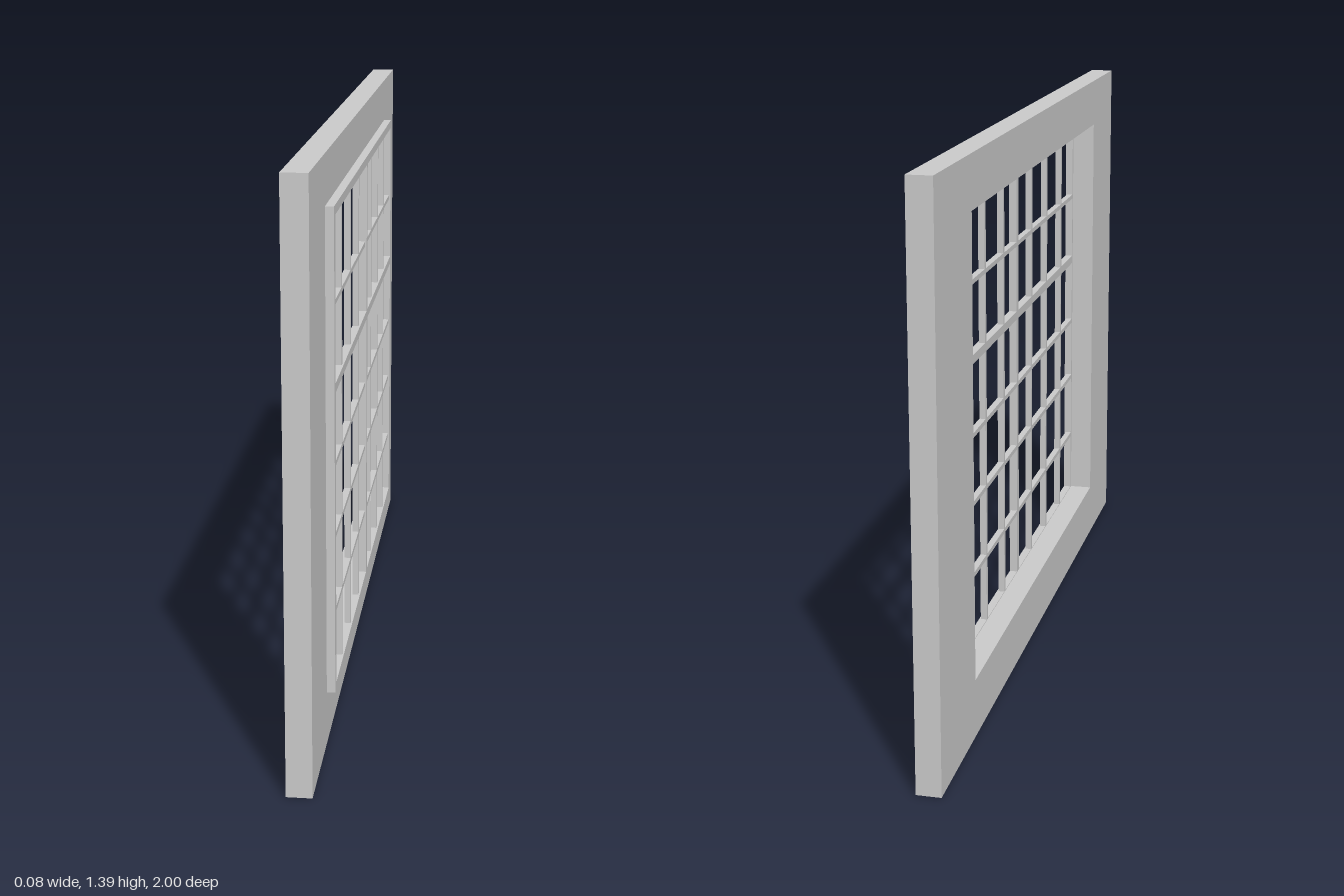
import * as THREE from 'three';

const material = new THREE.MeshStandardMaterial({ color: 0xcccccc, flatShading: true });

// Rectangle outline in the (z, y) plane, wound either way
function trace(path, z0, z1, y0, y1) {
  path.moveTo(z0, y0);
  path.lineTo(z1, y0);
  path.lineTo(z1, y1);
  path.lineTo(z0, y1);
  path.closePath();
  return path;
}

// Rectangular panel with a rectangular opening, from x0 to x1
function panel(name, outer, inner, x0, x1) {
  // the shape's horizontal axis becomes -z after turning, so z is negated
  const flip = ([z0, z1, y0, y1]) => [-z1, -z0, y0, y1];
  const shape = trace(new THREE.Shape(), ...flip(outer));
  shape.holes.push(trace(new THREE.Path(), ...flip(inner)));
  const geometry = new THREE.ExtrudeGeometry(shape, { depth: x1 - x0, bevelEnabled: false });
  geometry.rotateY(Math.PI / 2);
  geometry.translate(x0, 0, 0);
  const mesh = new THREE.Mesh(geometry, material);
  mesh.name = name;
  return mesh;
}

function bar(name, z0, z1, y0, y1, x0, x1) {
  const mesh = new THREE.Mesh(new THREE.BoxGeometry(x1 - x0, y1 - y0, z1 - z0), material);
  mesh.position.set((x0 + x1) / 2, (y0 + y1) / 2, (z0 + z1) / 2);
  mesh.name = name;
  return mesh;
}

export function createModel() {
  const group = new THREE.Group();
  group.name = 'windowWall';
  const zMin = -0.695, zMax = 0.71, yMin = 0.147, yMax = 1.253;

  // Wall with its opening, and the window frame on its +x face
  group.add(panel('wall', [-1, 1, 0, 1.39], [zMin, 0.72, 0.145, 1.263], -0.04, 0.02));
  group.add(panel('windowFrame', [-0.703, 0.733, 0.13, 1.275], [zMin, zMax, yMin, yMax], 0.02, 0.04));

  // Thick centre mullion and transom
  group.add(bar('mullion', -0.011, 0.011, yMin, yMax, 0.02, 0.04));
  group.add(bar('transom', zMin, zMax, 0.85, 0.872, 0.02, 0.04));

  // Thin glazing bars
  const h = 0.006;
  for (const z of [0.549, 0.356, 0.168, -0.151, -0.34, -0.518]) {
    group.add(bar('verticalGlazingBar', z - h, z + h, yMin, yMax, 0.02, 0.036));
  }
  for (const y of [1.05, 0.673, 0.5, 0.316]) {
    group.add(bar('horizontalGlazingBar', zMin, zMax, y - h, y + h, 0.02, 0.036));
  }
  return group;
}
